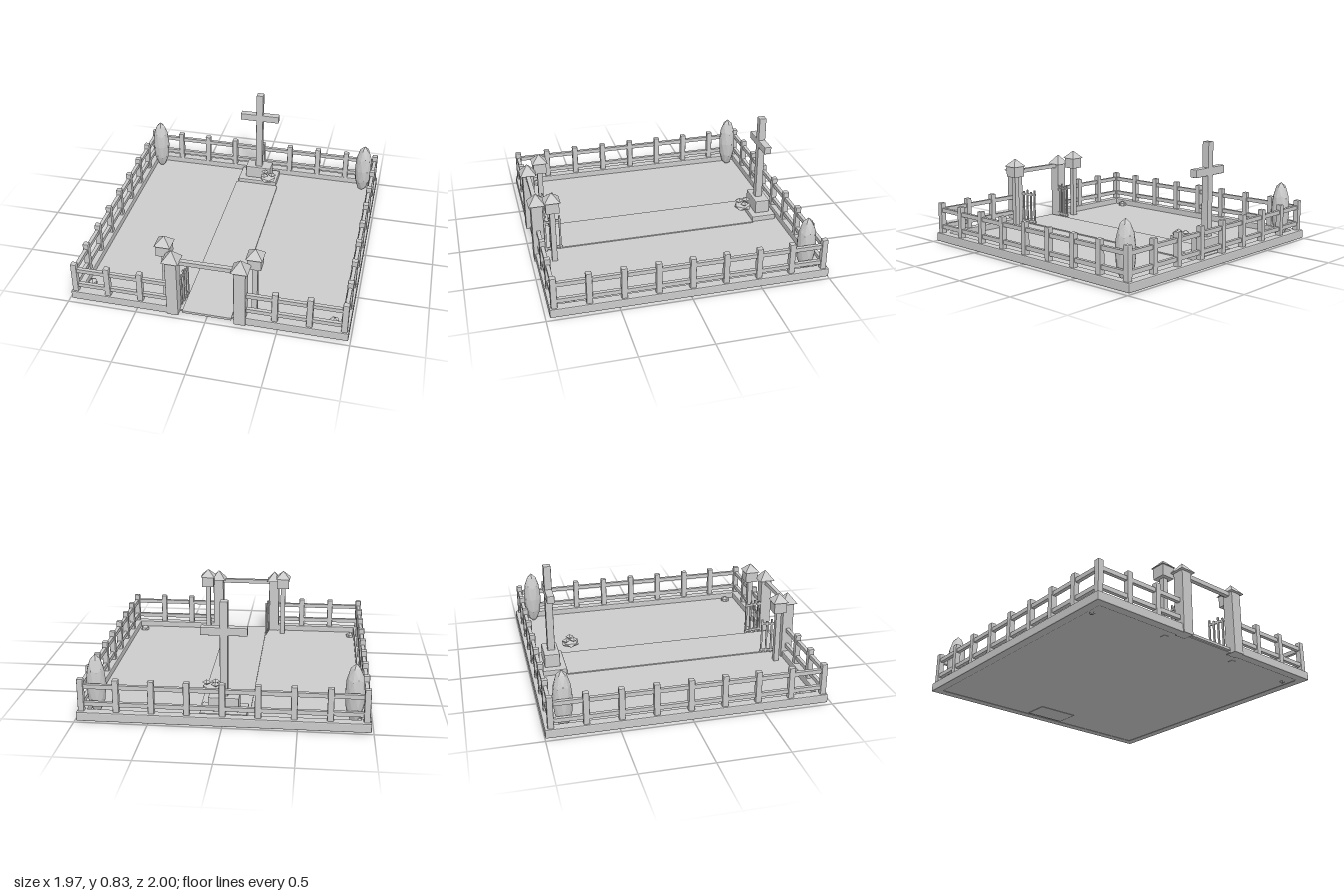
import * as THREE from 'three';
import { RoundedBoxGeometry } from 'three/addons/geometries/RoundedBoxGeometry.js';

const stone = new THREE.MeshStandardMaterial({ color: 0xcccccc, flatShading: true });
stone.name = 'paleStone';

export function createModel() {
  const root = new THREE.Group();
  root.name = 'fencedYard';

  const add = (name, geometry, x, y, z, parent = root) => {
    const mesh = new THREE.Mesh(geometry, stone);
    mesh.name = name;
    mesh.position.set(x, y, z);
    parent.add(mesh);
    return mesh;
  };
  // Box given by centre x/z, bottom and top height, and footprint; bevel > 0 softens its edges
  const block = (name, x, z, y0, y1, w, d, bevel = 0, parent = root) => add(name,
    bevel ? new RoundedBoxGeometry(w, y1 - y0, d, 1, bevel) : new THREE.BoxGeometry(w, y1 - y0, d),
    x, (y0 + y1) / 2, z, parent);
  const pyramid = (name, x, z, y0, y1, half) =>
    add(name, new THREE.ConeGeometry(half * Math.SQRT2, y1 - y0, 4).rotateY(Math.PI / 4), x, (y0 + y1) / 2, z);
  // Faceted ball with a vertex at the top, stretched per axis
  const lump = (name, x, y, z, rx, ry, rz, detail, turn = 0) => {
    const g = new THREE.IcosahedronGeometry(1, detail);
    g.rotateZ(-Math.atan(2 / (1 + Math.sqrt(5)))).rotateY(turn).scale(rx, ry, rz);
    return add(name, g, x, y, z);
  };

  // Ground and central path
  block('ground', 0, -0.015, 0.005, 0.02, 1.9, 1.9);
  block('path', 0, 0.1125, 0.01, 0.028, 0.35, 1.685);

  // Low curb walls
  const side = 0.952, back = -0.966, front = 0.938, curb = 0.065;
  block('backCurb', 0, back, 0, curb, 1.97, 0.066, 0.008);
  for (const s of [-1, 1]) {
    block('sideCurb', s * side, -0.014, 0, curb, 0.066, 1.97, 0.008);
    block('frontCurb', s * 0.6, front, 0, curb, 0.77, 0.066, 0.008);
  }

  // Fence posts and rails
  const post = (x, z) => block('fencePost', x, z, 0.003, 0.295, 0.043, 0.043, 0.007);
  const fx = 0.953, zBack = -0.958, step = fx / 4;
  for (let i = 0; i < 9; i++) {
    const x = -fx + i * step;
    post(x, zBack);
    if (i < 3 || i > 5) post(x, front);
    if (i > 0 && i < 8) for (const s of [-1, 1]) post(s * fx, zBack + (front - zBack) * i / 8);
  }
  for (const [y0, y1] of [[0.1, 0.13], [0.225, 0.255]]) {
    block('backRail', 0, zBack, y0, y1, 1.9, 0.026);
    for (const s of [-1, 1]) {
      block('sideRail', s * fx, -0.01, y0, y1, 0.026, 1.89);
      block('frontRail', s * 0.6, front, y0, y1, 0.7, 0.026);
    }
  }

  // Gateway: pillars, cross beam, lamps and open gate leaves
  block('gateBeam', 0, front, 0.428, 0.46, 0.42, 0.032);
  for (const s of [-1, 1]) {
    block('gatePillar', s * 0.238, front, 0, 0.457, 0.084, 0.084, 0.005);
    pyramid('pillarCap', s * 0.238, front, 0.457, 0.533, 0.06);

    block('lampPost', s * 0.317, 0.838, 0.003, 0.43, 0.038, 0.038);
    block('lampHousing', s * 0.317, 0.838, 0.425, 0.508, 0.096, 0.096);
    pyramid('lampRoof', s * 0.317, 0.838, 0.508, 0.568, 0.058);

    const leaf = new THREE.Group();
    leaf.name = 'gateLeaf';
    leaf.position.set(s * 0.198, 0, 0.895);
    leaf.rotation.y = s * 0.15;
    root.add(leaf);
    for (const y of [0.045, 0.265])
      block('gateRail', 0, -0.065, y - 0.008, y + 0.008, 0.01, 0.14, 0, leaf);
    for (let i = 0; i < 4; i++)
      block('gateBar', 0, -0.014 - i * 0.037, 0.025, i % 2 ? 0.3 : 0.285, 0.012, 0.012, 0, leaf);
  }

  // Cross on a stepped plinth
  block('plinthBase', 0, -0.825, 0, 0.06, 0.32, 0.19, 0.008);
  block('plinthBlock', 0, -0.83, 0.055, 0.16, 0.21, 0.115, 0.008);
  block('crossUpright', 0, -0.825, 0.15, 0.823, 0.055, 0.055, 0.006);
  block('crossArm', 0, -0.825, 0.588, 0.645, 0.315, 0.055, 0.006);

  // Flower cluster beside the plinth
  lump('flowerLeaves', 0.105, 0.14, -0.665, 0.07, 0.025, 0.07, 0);
  for (const [x, z] of [[0.075, -0.7], [0.14, -0.665], [0.08, -0.642]])
    add('flower', new THREE.OctahedronGeometry(1).scale(0.033, 0.02, 0.033), x, 0.176, z);

  // Tall shrubs in the back corners, small stones in the front ones
  lump('shrub', -0.873, 0.22, -0.862, 0.068, 0.213, 0.068, 1);
  lump('shrub', 0.869, 0.22, -0.862, 0.068, 0.213, 0.068, 1, 0.6);
  lump('smallStone', -0.888, 0.025, 0.8, 0.035, 0.033, 0.038, 0);
  lump('smallStone', 0.87, 0.025, 0.82, 0.038, 0.033, 0.038, 0, 0.8);

  return root;
}
